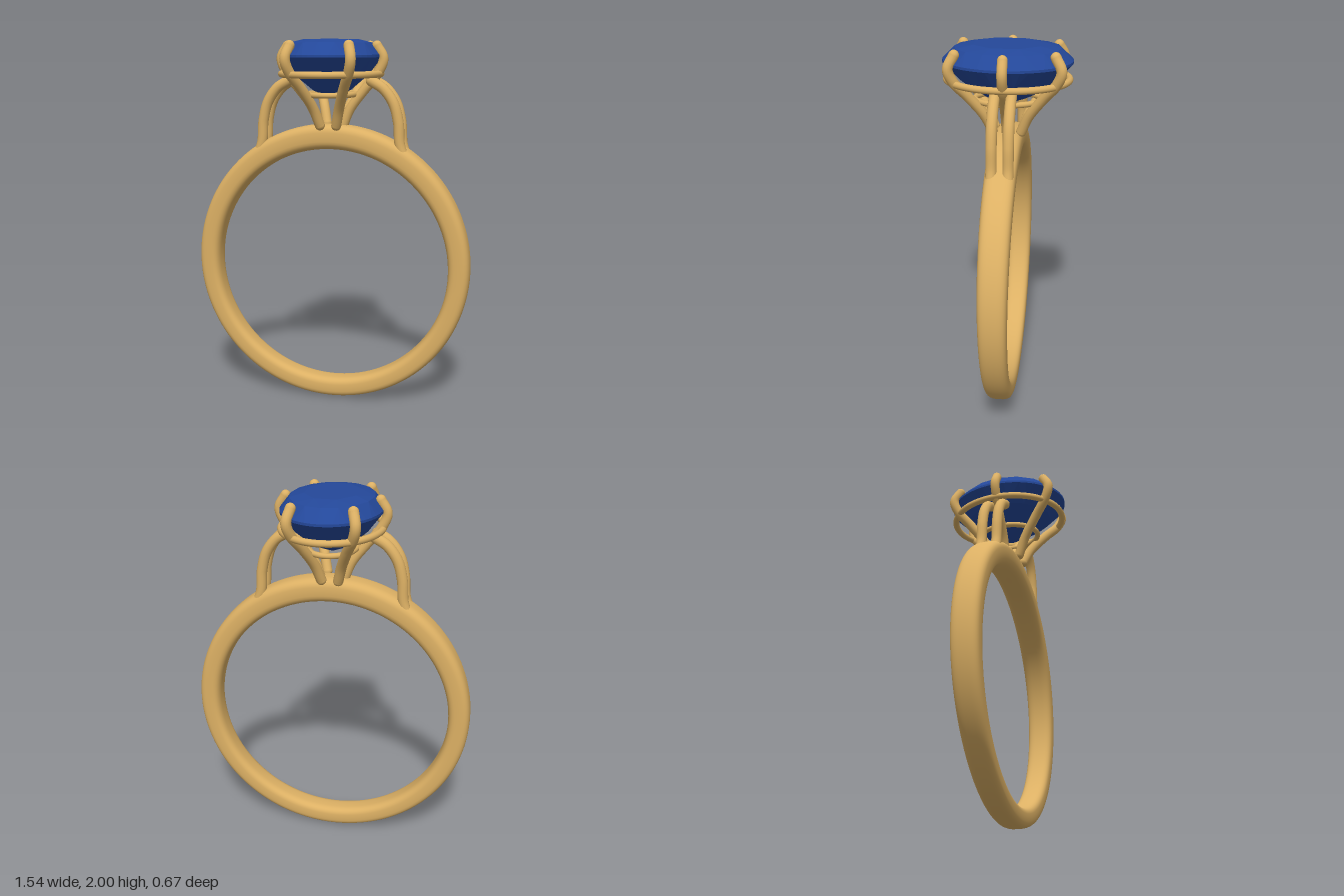
import * as THREE from 'three';
import { ConvexGeometry } from 'three/addons/geometries/ConvexGeometry.js';

const gold = new THREE.MeshStandardMaterial({ color: 0xdcb064 });
gold.name = 'gold';
const blue = new THREE.MeshStandardMaterial({ color: 0x24489a });
blue.name = 'blue gem';

// Wire through points, with rounded ends when open
function wire(name, points, radius, closed = false) {
  const group = new THREE.Group();
  group.name = name;
  const curve = new THREE.CatmullRomCurve3(points.map(p => new THREE.Vector3(...p)), closed);
  group.add(new THREE.Mesh(new THREE.TubeGeometry(curve, closed ? 96 : 40, radius, 14, closed), gold));
  if (!closed) {
    for (const p of [points[0], points[points.length - 1]]) {
      const cap = new THREE.Mesh(new THREE.SphereGeometry(radius, 16, 12), gold);
      cap.position.set(...p);
      group.add(cap);
    }
  }
  return group;
}

const oval = (rx, rz, y, n, offset = 0) => Array.from({ length: n }, (_, i) => {
  const a = (i + offset) / n * Math.PI * 2;
  return [rx * Math.cos(a), y, rz * Math.sin(a)];
});

// Band: soft rectangular section, thicker and wider towards the top
function bandGeometry() {
  const N = 128, M = 32, inner = 0.652, cy = 0.766;
  const pos = [], index = [];
  const soft = v => Math.sign(v) * Math.pow(Math.abs(v), 0.65);
  for (let i = 0; i < N; i++) {
    const a = i / N * Math.PI * 2;
    const up = (1 + Math.sin(a)) / 2;
    const thick = 0.111 + 0.025 * up * up;
    const half = 0.065 + 0.016 * up;
    for (let j = 0; j < M; j++) {
      const b = j / M * Math.PI * 2;
      const r = inner + thick / 2 * (1 + soft(Math.cos(b)));
      pos.push(r * Math.cos(a), cy + r * Math.sin(a), half * soft(Math.sin(b)));
      const i2 = (i + 1) % N, j2 = (j + 1) % M;
      const p = i * M + j, q = i2 * M + j, s = i2 * M + j2, t = i * M + j2;
      index.push(p, q, s, p, s, t);
    }
  }
  const g = new THREE.BufferGeometry();
  g.setAttribute('position', new THREE.Float32BufferAttribute(pos, 3));
  g.setIndex(index);
  g.computeVertexNormals();
  return g;
}

export function createModel() {
  const ring = new THREE.Group();
  ring.name = 'ring';

  const band = new THREE.Mesh(bandGeometry(), gold);
  band.name = 'band';
  ring.add(band);

  // Faceted oval stone: [scale, height, sides, offset] from table to culet
  const levels = [
    [0.55, 2.0, 8, 0.5], [0.82, 1.982, 16, 0], [1, 1.92, 48, 0], [1, 1.907, 48, 0],
    [0.74, 1.815, 16, 0.5], [0.4, 1.735, 8, 0], [0.01, 1.688, 4, 0],
  ];
  const corners = levels.flatMap(([s, y, n, o]) => oval(0.265 * s, 0.337 * s, y, n, o));
  const gem = new THREE.Mesh(new ConvexGeometry(corners.map(p => new THREE.Vector3(...p))), blue);
  gem.name = 'gem';
  ring.add(gem);

  // Basket rails
  ring.add(wire('upperRail', oval(0.262, 0.318, 1.82, 24), 0.018, true));
  ring.add(wire('lowerRail', oval(0.128, 0.172, 1.712, 24), 0.015, true));

  for (const sx of [-1, 1]) {
    // Side prong
    ring.add(wire('sideProng', [
      [0.06, 1.53, 0], [0.1, 1.63, 0], [0.175, 1.73, 0],
      [0.25, 1.82, 0], [0.281, 1.9, 0], [0.246, 1.967, 0],
    ].map(([x, y, z]) => [sx * x, y, z]), 0.026));

    for (const sz of [-1, 1]) {
      const mirror = ([x, y, z]) => [sx * x, y, sz * z];
      // Corner prong
      ring.add(wire('cornerProng', [
        [0.045, 1.55, 0.075], [0.07, 1.64, 0.115], [0.115, 1.75, 0.195],
        [0.155, 1.83, 0.26], [0.171, 1.9, 0.284], [0.155, 1.967, 0.253],
      ].map(mirror), 0.027));
      // Shoulder support from band to basket
      ring.add(wire('shoulderSupport', [
        [0.41, 1.37, 0.042], [0.383, 1.45, 0.042], [0.373, 1.57, 0.042],
        [0.345, 1.67, 0.042], [0.29, 1.745, 0.042], [0.225, 1.785, 0.042],
      ].map(mirror), 0.028));
    }
  }
  return ring;
}
